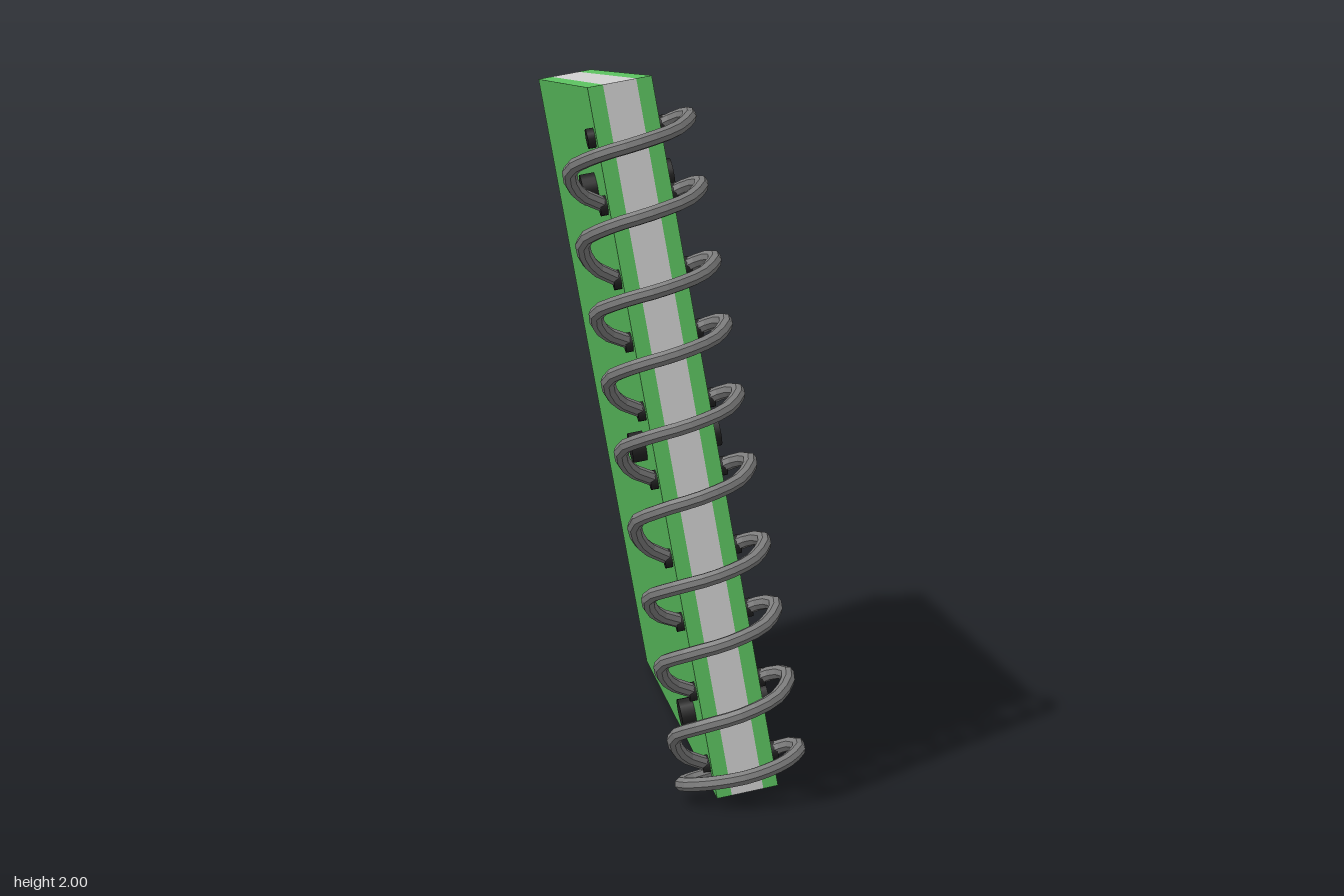
import * as THREE from 'three';

const H = 1.99, D = 1.515, PAGES = 0.09, COVER = 0.042;

const mat = (color, extra = {}) => new THREE.MeshStandardMaterial({ color, ...extra });

function add(parent, name, geometry, material, x = 0, y = 0, z = 0) {
  const mesh = new THREE.Mesh(geometry, material);
  mesh.name = name;
  mesh.position.set(x, y, z);
  parent.add(mesh);
  return mesh;
}

export function createModel() {
  const model = new THREE.Group();
  model.name = 'spiralNotebook';

  // The whole notebook leans to one side
  const book = new THREE.Group();
  book.name = 'notebook';
  book.position.set(0.015, 1.0, -0.1);
  book.rotation.set(0.007, 0, 0.18);
  model.add(book);

  const green = mat(0x5abe5e);
  const black = mat(0x222222);
  const steel = mat(0x7c7c7c, { flatShading: true, side: THREE.DoubleSide });

  // Page block and the two covers
  add(book, 'pages', new THREE.BoxGeometry(PAGES, H, D), mat(0xcccccc));
  for (const [name, s] of [['leftCover', 1], ['rightCover', -1]]) {
    add(book, name, new THREE.BoxGeometry(COVER, H, D), green, s * (PAGES + COVER) / 2);
  }

  // Binding posts through the book
  const postGeo = new THREE.CylinderGeometry(0.043, 0.043, 0.255, 16).rotateZ(Math.PI / 2);
  for (const [y, z] of [[0.712, 0.505], [-0.02, 0.525], [-0.8, 0.545]]) {
    add(book, 'bindingPost', postGeo, black, 0, y, z);
  }

  // Hole sleeves along the spine
  const holes = [0.859, 0.676, 0.473, 0.3, 0.107, -0.086, -0.31, -0.493, -0.696, -0.91];
  const sleeveGeo = new THREE.CylinderGeometry(0.027, 0.027, 0.215, 12).rotateZ(Math.PI / 2);
  holes.forEach((y) => add(book, 'holeSleeve', sleeveGeo, black, 0, y, 0.7));

  // Wire coil: each turn runs from one hole round the spine to the next hole down
  holes.forEach((h, i) => {
    const last = i === holes.length - 1;
    const end = last ? h - 0.03 : holes[i + 1];
    const drop = end - h;
    const reach = last ? 0.75 : 1;
    const path = [
      [0.09, 0, 0],
      [0.14, 0.016, 0.035],
      [0.163, 0.018, 0.1],
      [0.11, 0.08 * drop + 0.008, 0.185],
      [0.0, 0.12 * drop, 0.228],
      [-0.11, 0.2 * drop, 0.2],
      [-0.178, 0.36 * drop, 0.125],
      [-0.16, 0.72 * drop, 0.055],
      [-0.09, drop, 0],
    ].map(([x, y, z]) => new THREE.Vector3(x, h + y, 0.7 + z * reach));
    const curve = new THREE.CatmullRomCurve3(path);
    add(book, 'coilTurn', new THREE.TubeGeometry(curve, 20, 0.02, 8), steel);
  });

  return model;
}
